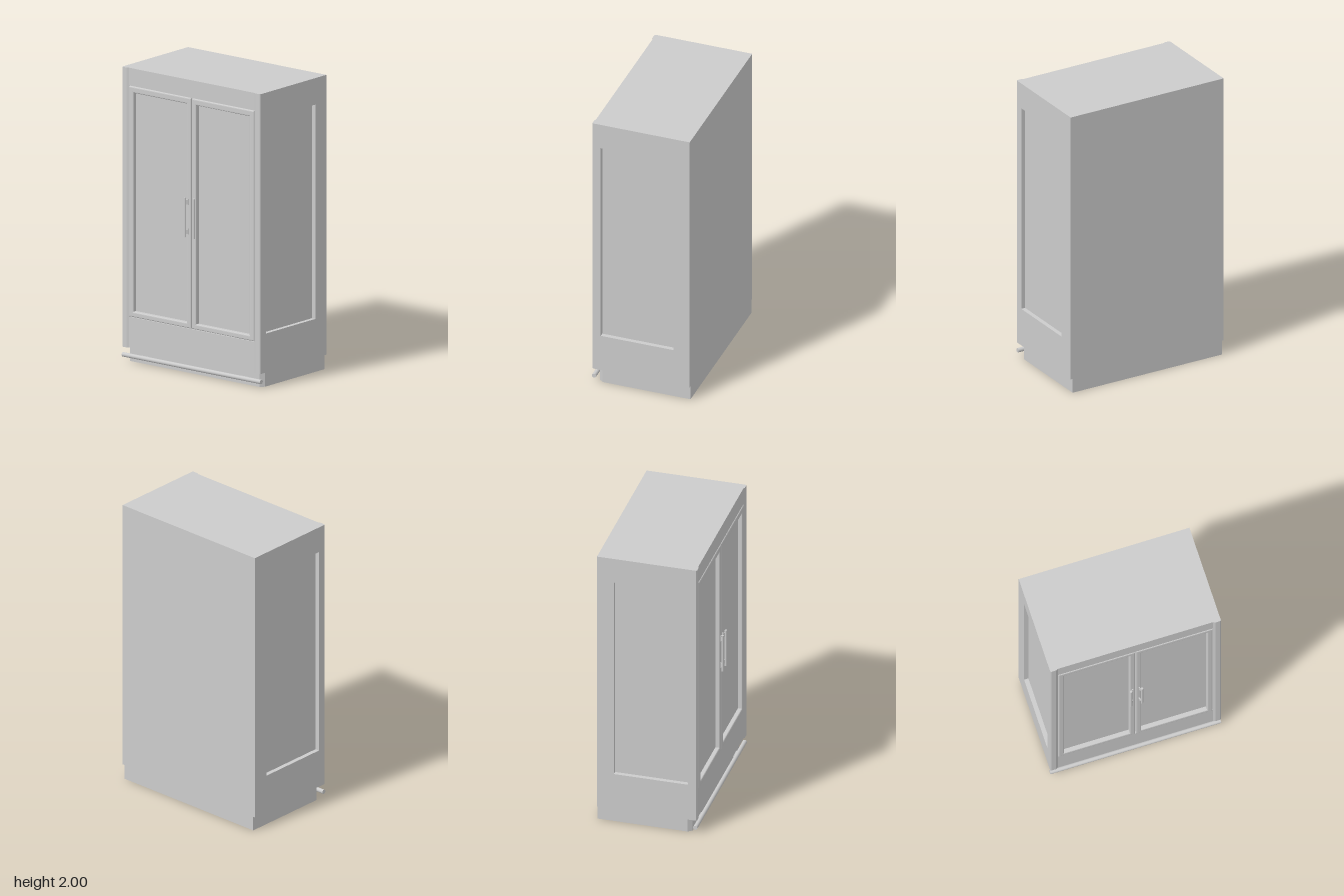
import * as THREE from 'three';

const mat = new THREE.MeshStandardMaterial({ color: 0xcccccc, side: THREE.DoubleSide });

function add(parent, name, geo, x = 0, y = 0, z = 0) {
  const m = new THREE.Mesh(geo, mat);
  m.name = name;
  m.position.set(x, y, z);
  parent.add(m);
  return m;
}

// Box given by its limits on each axis
function box(parent, name, x0, x1, y0, y1, z0, z1) {
  return add(parent, name, new THREE.BoxGeometry(x1 - x0, y1 - y0, z1 - z0),
    (x0 + x1) / 2, (y0 + y1) / 2, (z0 + z1) / 2);
}

const rect = (x0, x1, y0, y1) => [[x0, y0], [x1, y0], [x1, y1], [x0, y1]].map(p => new THREE.Vector2(...p));

// Rectangular frame: outer rectangle with a rectangular opening
function frameShape(outer, inner) {
  const s = new THREE.Shape(rect(...outer));
  s.holes.push(new THREE.Path(rect(...inner)));
  return s;
}

// Vertical prism from an [x, z] outline
function prism(points, height, hole) {
  const s = new THREE.Shape(points.map(([x, z]) => new THREE.Vector2(x, -z)));
  if (hole) s.holes.push(new THREE.Path(rect(...hole)));
  return new THREE.ExtrudeGeometry(s, { depth: height, bevelEnabled: false }).rotateX(-Math.PI / 2);
}

// Round bar between two points
function bar(parent, name, a, b, r) {
  const d = new THREE.Vector3().subVectors(b, a);
  const m = add(parent, name, new THREE.CylinderGeometry(r, r, d.length(), 16));
  m.position.copy(a).addScaledVector(d, 0.5);
  m.quaternion.setFromUnitVectors(new THREE.Vector3(0, 1, 0), d.normalize());
}

export function createModel() {
  const root = new THREE.Group();
  root.name = 'cabinet';

  // Cabinet body, hollow below the floor at y = 0.31
  const body = new THREE.Group();
  body.name = 'body';
  root.add(body);
  box(body, 'core', -0.56, 0.56, 0.31, 2, -0.355, 0.298);
  box(body, 'lowerBackPanel', -0.56, 0.56, 0, 0.31, -0.355, -0.34);
  box(body, 'lowerFrontPanel', -0.54, 0.54, 0.1, 0.31, 0.273, 0.323);
  box(body, 'upperFrontPanel', -0.54, 0.54, 1.88, 2, 0.273, 0.323);

  // Side walls with recessed panels, and the front corner posts
  const sideGeo = new THREE.ExtrudeGeometry(
    frameShape([-0.285, 0.355, 0.1, 2], [-0.27, 0.24, 0.365, 1.82]),
    { depth: 0.03, bevelEnabled: false }).rotateY(Math.PI / 2);
  for (const s of [1, -1]) {
    add(body, 'sideWall', sideGeo, s > 0 ? 0.56 : -0.59);
    const outline = [[0.537, 0.273], [0.59, 0.273], [0.59, 0.325], [0.583, 0.33], [0.55, 0.33], [0.537, 0.323]];
    add(body, 'cornerPost', prism(outline.map(([x, z]) => [s * x, z]), 1.9), 0, 0.1);
  }

  // Doors with bevelled frames around a recessed panel, and handles
  for (const s of [1, -1]) {
    const door = new THREE.Group();
    door.name = s > 0 ? 'leftDoor' : 'rightDoor';
    root.add(door);
    const outer = [0.003, 0.534, 0.313, 1.878];
    const inner = [0.04, 0.495, 0.35, 1.835];
    const flip = ([a, b, c, d]) => (s > 0 ? [a, b, c, d] : [-b, -a, c, d]);
    add(door, 'doorFrame', new THREE.ExtrudeGeometry(frameShape(flip(outer), flip(inner)), {
      depth: 0.04, bevelThickness: 0.007, bevelSize: 0.009, bevelOffset: -0.009, bevelSegments: 3,
    }), 0, 0, 0.281);

    const handle = new THREE.Group();
    handle.name = 'handle';
    door.add(handle);
    bar(handle, 'handleGrip', new THREE.Vector3(s * 0.038, 0.935, 0.347), new THREE.Vector3(s * 0.038, 1.205, 0.347), 0.008);
    for (const y of [0.972, 1.172]) {
      box(handle, 'handleFoot', s * 0.023 - 0.005, s * 0.023 + 0.005, y - 0.02, y + 0.02, 0.32, 0.334);
      const arm = box(handle, 'handleArm', -0.012, 0.012, y - 0.015, y + 0.015, -0.003, 0.003);
      arm.position.set(s * 0.03, y, 0.339);
      arm.rotation.y = -s * 0.8;
    }
  }

  // Open plinth with chamfered front corners
  const base = new THREE.Group();
  base.name = 'base';
  root.add(base);
  add(base, 'plinth', prism(
    [[-0.575, -0.355], [0.575, -0.355], [0.575, 0.262], [0.552, 0.29], [-0.552, 0.29], [-0.575, 0.262]],
    0.1, [-0.56, 0.56, -0.273, 0.34]));

  // Front bumper rail on two flat brackets
  bar(base, 'bumperRail', new THREE.Vector3(-0.59, 0.045, 0.318), new THREE.Vector3(0.59, 0.045, 0.318), 0.015);
  for (const s of [1, -1]) box(base, 'bumperBracket', s * 0.42 - 0.03, s * 0.42 + 0.03, 0.037, 0.053, 0.271, 0.312);

  return root;
}
